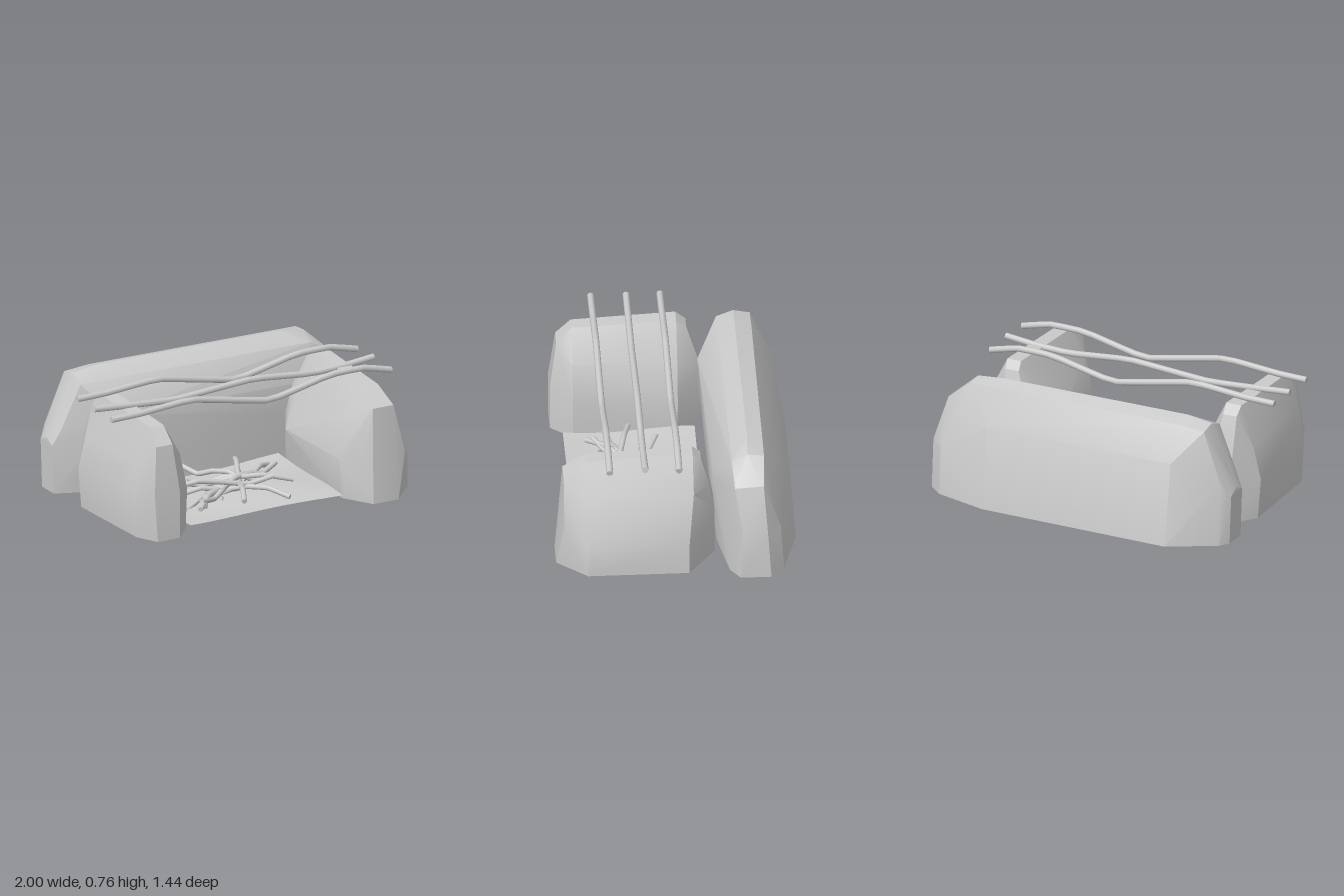
import * as THREE from 'three';
import { ConvexGeometry } from 'three/addons/geometries/ConvexGeometry.js';
import { toCreasedNormals } from 'three/addons/utils/BufferGeometryUtils.js';

const material = new THREE.MeshStandardMaterial({ color: 0xcccccc });
const sheetMaterial = new THREE.MeshStandardMaterial({ color: 0xcccccc, side: THREE.DoubleSide });

// Hewn stone: the hull of [position, profile] sections along the x or z axis
function stone(name, axis, sections) {
  const points = [];
  for (const [s, profile] of sections) {
    for (const [a, y] of profile) {
      points.push(axis === 'x' ? new THREE.Vector3(s, y, a) : new THREE.Vector3(a, y, s));
    }
  }
  const mesh = new THREE.Mesh(toCreasedNormals(new ConvexGeometry(points), 0.45), material);
  mesh.name = name;
  return mesh;
}

// Crooked round branch through a few points, with closed ends
function branch(name, points, radius) {
  const group = new THREE.Group();
  group.name = name;
  const curve = new THREE.CatmullRomCurve3(points.map((p) => new THREE.Vector3(...p)), false, 'catmullrom', 0.15);
  const tube = new THREE.Mesh(new THREE.TubeGeometry(curve, 20, radius, 8), material);
  group.add(tube);
  for (const t of [0, 1]) {
    const cap = new THREE.Mesh(new THREE.CircleGeometry(radius, 8), material);
    const out = curve.getTangent(t).multiplyScalar(t ? 1 : -1);
    cap.position.copy(curve.getPoint(t));
    cap.quaternion.setFromUnitVectors(new THREE.Vector3(0, 0, 1), out);
    group.add(cap);
  }
  return group;
}

export function createModel() {
  const model = new THREE.Group();
  model.name = 'firePit';

  // Two side stones
  model.add(stone('rightStone', 'z', [
    [0.72, [[0.6, 0], [0.77, 0]]],
    [0.675, [[0.57, 0.28], [0.84, 0.28], [0.62, 0.58], [0.76, 0.58]]],
    [0.54, [[0.49, 0], [0.47, 0.25], [0.55, 0.5], [0.64, 0.675], [0.73, 0.675], [0.84, 0.47], [0.93, 0.2], [0.93, 0]]],
    [-0.06, [[0.48, 0], [0.44, 0.25], [0.93, 0.2], [0.93, 0]]],
    [-0.09, [[0.54, 0.5], [0.64, 0.705], [0.73, 0.705], [0.84, 0.49]]],
    [-0.14, [[0.63, 0.66], [0.72, 0.66]]],
    [-0.19, [[0.56, 0.47], [0.7, 0.47]]],
    [-0.22, [[0.53, 0], [0.7, 0], [0.53, 0.3], [0.7, 0.3]]],
  ]));
  model.add(stone('leftStone', 'z', [
    [0.67, [[-0.68, 0], [-0.83, 0], [-0.68, 0.28], [-0.85, 0.28]]],
    [0.63, [[-0.71, 0.58], [-0.82, 0.58]]],
    [0.54, [[-0.57, 0], [-0.56, 0.25], [-0.61, 0.48], [-0.72, 0.675], [-0.81, 0.675], [-0.88, 0.45], [-0.915, 0.25], [-0.9, 0]]],
    [-0.08, [[-0.57, 0], [-0.56, 0.25], [-0.61, 0.48], [-0.72, 0.7], [-0.82, 0.7], [-0.9, 0.45], [-0.95, 0.25], [-0.93, 0]]],
    [-0.14, [[-0.73, 0.65], [-0.82, 0.65]]],
    [-0.22, [[-0.71, 0], [-0.83, 0], [-0.7, 0.4], [-0.83, 0.4]]],
  ]));

  // Long back stone
  model.add(stone('backStone', 'x', [
    [-0.97, [[-0.36, 0.3], [-0.43, 0.34], [-0.5, 0.3]]],
    [-0.96, [[-0.36, 0], [-0.5, 0]]],
    [-0.92, [[-0.56, 0], [-0.54, 0.38], [-0.34, 0.4]]],
    [-0.8, [[-0.32, 0.67], [-0.42, 0.71], [-0.52, 0.69]]],
    [-0.64, [[-0.235, 0], [-0.205, 0.3], [-0.2, 0.48], [-0.42, 0.735], [-0.52, 0.705], [-0.64, 0.5], [-0.72, 0]]],
    [0.58, [[-0.24, 0], [-0.22, 0.3], [-0.22, 0.46], [-0.42, 0.73], [-0.64, 0.5], [-0.71, 0]]],
    [0.76, [[-0.32, 0.66], [-0.41, 0.71], [-0.51, 0.7]]],
    [0.91, [[-0.33, 0.57], [-0.5, 0.58], [-0.62, 0], [-0.6, 0.3], [-0.3, 0]]],
    [1, [[-0.36, 0], [-0.54, 0], [-0.37, 0.3], [-0.52, 0.3]]],
  ]));

  // Slightly uneven ash bed
  const bed = new THREE.PlaneGeometry(1.03, 0.78, 14, 10).rotateX(-Math.PI / 2);
  const pos = bed.attributes.position;
  for (let i = 0; i < pos.count; i++) {
    const x = pos.getX(i), z = pos.getZ(i);
    pos.setY(i, 0.045 + 0.012 * Math.sin(5 * x + 3 * z) + 0.008 * Math.cos(8 * z - 4 * x));
  }
  bed.computeVertexNormals();
  const ashBed = new THREE.Mesh(bed, sheetMaterial);
  ashBed.name = 'ashBed';
  ashBed.position.set(-0.055, 0, 0.21);
  model.add(ashBed);

  // Three crooked poles across the top
  const xs = [-1, -0.8, -0.45, 0.07, 0.47, 0.7, 0.89];
  const outer = [0.715, 0.72, 0.745, 0.65, 0.735, 0.74, 0.695];
  const middle = [0.715, 0.7, 0.68, 0.715, 0.68, 0.69, 0.71];
  [[0, outer], [0.2, middle], [0.41, outer]].forEach(([z, ys], i) => {
    model.add(branch('pole' + (i + 1), xs.map((x, k) => [x, ys[k], z]), 0.02));
  });

  // Heap of sticks: x and z of both ends, height
  const pile = new THREE.Group();
  pile.name = 'stickPile';
  const sticks = [
    [-0.2, -0.17, 0.02, 0.2, 0.1], [0.11, -0.08, -0.1, 0.36, 0.12],
    [0.3, 0.07, -0.2, 0.3, 0.11], [0.31, -0.04, -0.05, 0.22, 0.06],
    [-0.4, 0.06, 0.27, 0.34, 0.11], [-0.48, 0.22, 0.13, 0.35, 0.13],
    [-0.2, 0.1, 0.13, 0.55, 0.09], [-0.43, 0.47, 0.0, 0.06, 0.07],
    [-0.56, 0.36, -0.1, 0.2, 0.05], [-0.15, 0.5, 0.06, 0.05, 0.08],
    [-0.27, 0.02, 0.1, 0.22, 0.09], [-0.36, 0.4, -0.16, 0.06, 0.05],
    [0.25, 0.25, -0.22, 0.24, 0.045], [-0.38, 0.14, 0.1, 0.27, 0.05],
    [-0.4, 0.43, 0.13, 0.1, 0.1], [0.05, -0.02, -0.22, 0.33, 0.04],
  ];
  sticks.forEach(([x0, z0, x1, z1, h], i) => {
    const bend = i % 2 ? 1 : -1;
    const points = [0, 0.03, 0.008 * bend, -0.02, 0.015].map((dy, k) => {
      const t = k / 4;
      return [x0 + (x1 - x0) * t, h + dy * bend, z0 + (z1 - z0) * t];
    });
    pile.add(branch('stick' + (i + 1), points, 0.016));
  });
  model.add(pile);
  return model;
}
